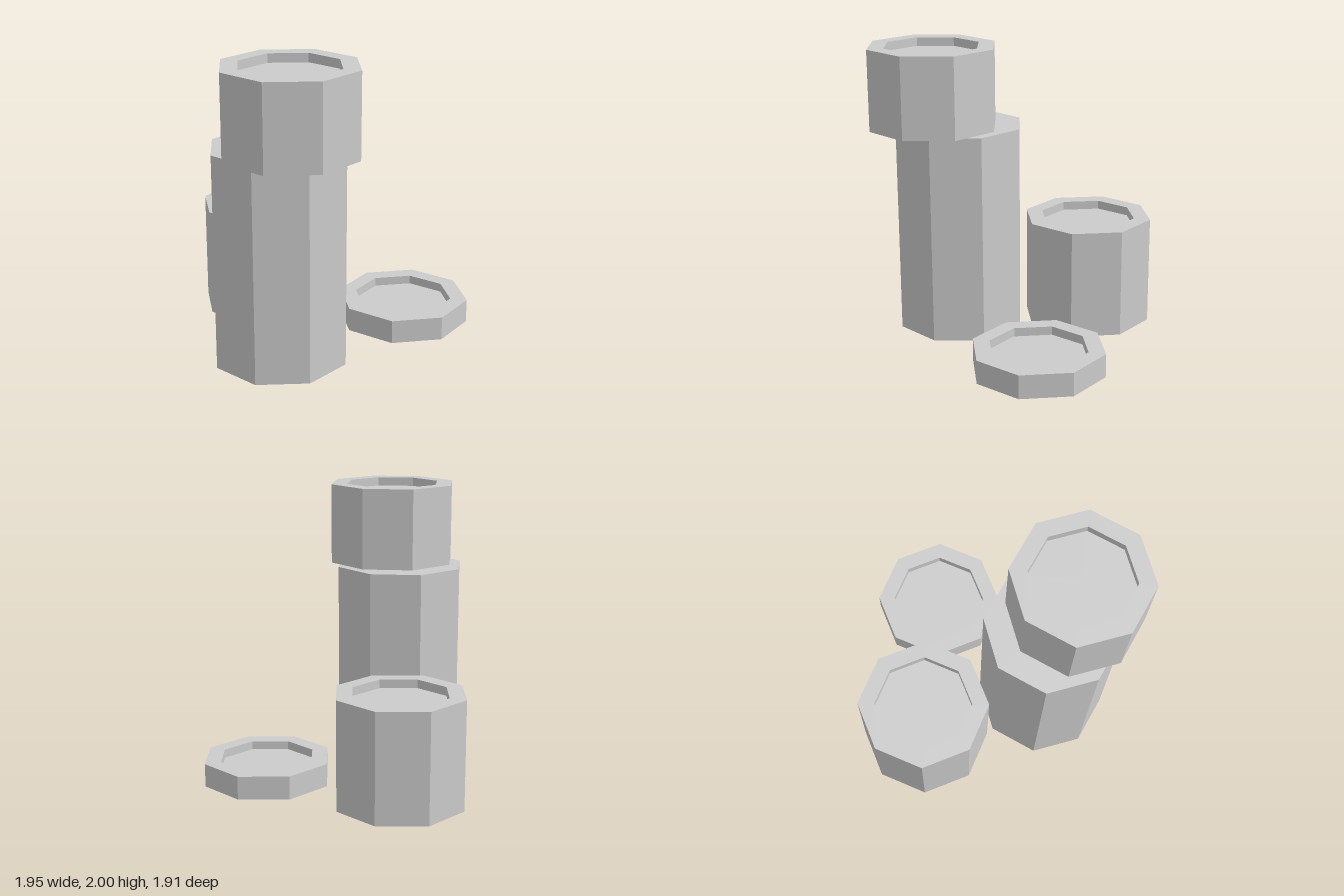
import * as THREE from 'three';

const SIDES = 8, OUTER = 0.452, INNER = 0.336, DEPTH = 0.06;

// Octagonal stack with optional recessed faces at the bottom and top
function makeStack(name, x, z, y0, y1, turn, recessBottom, recessTop, material) {
  const profile = [];
  const add = (r, y) => profile.push(new THREE.Vector2(r, y));
  if (recessBottom) {
    add(0, y0 + DEPTH);
    add(INNER, y0 + DEPTH);
    add(INNER, y0);
  } else add(0, y0);
  add(OUTER, y0);
  add(OUTER, y1);
  if (recessTop) {
    add(INNER, y1);
    add(INNER, y1 - DEPTH);
    add(0, y1 - DEPTH);
  } else add(0, y1);

  const mesh = new THREE.Mesh(new THREE.LatheGeometry(profile, SIDES), material);
  mesh.name = name;
  mesh.position.set(x, 0, z);
  mesh.rotation.y = turn;
  return mesh;
}

export function createModel() {
  const material = new THREE.MeshStandardMaterial({ color: 0xcccccc, flatShading: true });
  const turn = THREE.MathUtils.degToRad(-6.4);
  const group = new THREE.Group();
  group.name = 'coinStacks';
  group.add(
    // tall pile: lower stack with a shifted stack on top
    makeStack('tallStackLower', -0.51, 0.32, 0, 1.443, turn, true, false, material),
    makeStack('tallStackUpper', -0.53, 0.5, 1.443, 2, turn, false, true, material),
    // medium pile at the back
    makeStack('mediumStack', -0.138, -0.505, 0, 0.757, 0, true, true, material),
    // single coin
    makeStack('singleCoin', 0.523, 0.265, 0, 0.162, 0, true, true, material)
  );
  return group;
}
